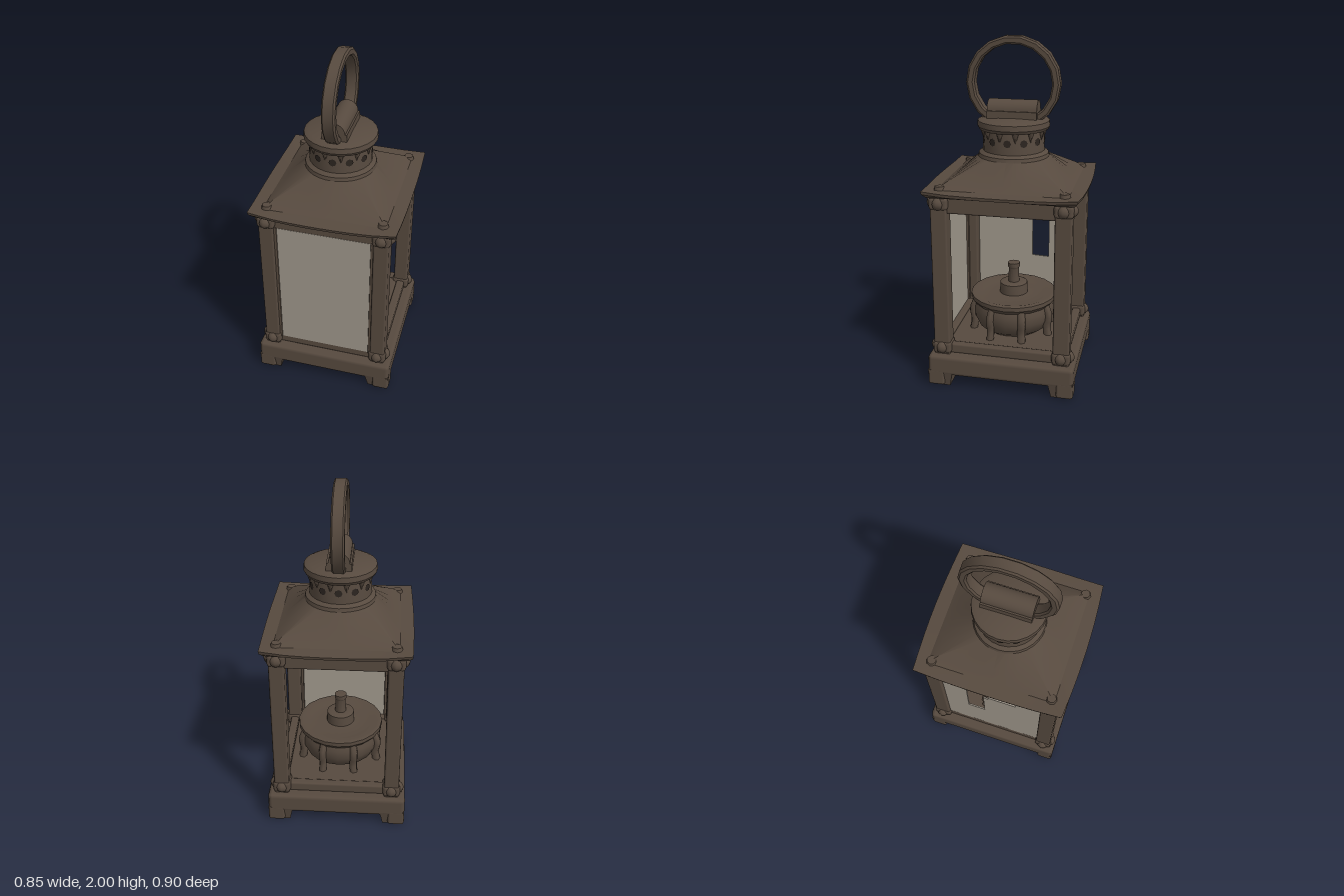
import * as THREE from 'three';
import { toCreasedNormals } from 'three/addons/utils/BufferGeometryUtils.js';
import { RoundedBoxGeometry } from 'three/addons/geometries/RoundedBoxGeometry.js';

const metal = new THREE.MeshStandardMaterial({ color: 0x574a3f });
metal.name = 'aged bronze';
const glass = new THREE.MeshStandardMaterial({ color: 0xa0988c });
glass.name = 'dusty glass';
const dark = new THREE.MeshStandardMaterial({ color: 0x2c2520 });
dark.name = 'vent shadow';

function add(parent, name, geometry, x = 0, y = 0, z = 0, material = metal) {
  const mesh = new THREE.Mesh(geometry, material);
  mesh.name = name;
  mesh.position.set(x, y, z);
  parent.add(mesh);
  return mesh;
}

const box = (w, h, d, r = 0.012) => new RoundedBoxGeometry(w, h, d, 1, r);

function lathe(points, segments = 24) {
  const profile = points.map(([r, y]) => new THREE.Vector2(r, y));
  return toCreasedNormals(new THREE.LatheGeometry(profile, segments), 0.6);
}

// Skin over rings, each a function from angle to [x, y, z], listed bottom to top
function loft(rings, n = 32) {
  const pos = [], index = [];
  rings.forEach((ring, j) => {
    for (let i = 0; i < n; i++) {
      pos.push(...ring((i / n) * Math.PI * 2));
      if (j === 0) continue;
      const k = (i + 1) % n, a = (j - 1) * n, b = j * n;
      index.push(a + i, b + i, a + k, a + k, b + i, b + k);
    }
  });
  const g = new THREE.BufferGeometry();
  g.setAttribute('position', new THREE.Float32BufferAttribute(pos, 3));
  g.setIndex(index);
  return toCreasedNormals(g, 0.5);
}

// Rectangular ring with slightly bowed sides and lifted corners
const rectRing = (hx, hz, y, bow = 0, lift = 0) => (t) => {
  const c = Math.cos(t), s = Math.sin(t), m = Math.max(Math.abs(c), Math.abs(s));
  const u = c / m, v = s / m;
  return [u * (hx + bow * 0.5 * (1 - v * v)), y + lift * (u * v) ** 4, v * (hz + bow * (1 - u * u))];
};
const roundRing = (r, y) => (t) => [Math.cos(t) * r, y, Math.sin(t) * r];

function buildBase(g) {
  add(g, 'baseSlab', box(0.82, 0.125, 0.86, 0.025), 0, 0.133, 0);
  add(g, 'floor', box(0.6, 0.06, 0.66), 0, 0.215, 0);
  for (const sx of [-1, 1]) for (const sz of [-1, 1]) {
    // Foot flaring up into the slab
    const foot = new THREE.CylinderGeometry(0.095, 0.07, 0.1, 4, 1).rotateY(Math.PI / 4);
    foot.scale(1.1, 1, 1.1);
    add(g, 'foot', toCreasedNormals(foot, 0.3), sx * 0.335, 0.05, sz * 0.355);
    add(g, 'footPad', box(0.1, 0.1, 0.1, 0.015), sx * 0.36, 0.055, sz * 0.38);
  }
}

function buildFrame(g) {
  const knob = new THREE.SphereGeometry(0.036, 8, 6);
  for (const sx of [-1, 1]) for (const sz of [-1, 1]) {
    const x = sx * 0.327, z = sz * 0.35;
    add(g, 'cornerPost', box(0.088, 1.0, 0.096), x, 0.68, z);
    for (const y of [0.235, 1.115]) {
      add(g, 'postCollar', box(0.105, 0.075, 0.11, 0.02), x, y, z);
      add(g, 'sideKnob', knob, x + sx * 0.038, y, z);
      add(g, 'faceKnob', knob, x, y, z + sz * 0.04);
    }
    add(g, 'roofPeg', new THREE.CylinderGeometry(0.026, 0.038, 0.045, 8), x, 1.185, z);
  }
  // Rails between the posts
  for (const s of [-1, 1]) {
    for (const [y, h] of [[0.225, 0.06], [1.11, 0.11]]) {
      add(g, 'crossRail', box(0.6, h, 0.05), 0, y, s * 0.352);
      add(g, 'sideRail', box(0.05, h, 0.64), s * 0.328, y, 0);
    }
  }
}

function buildPanes(g) {
  add(g, 'frontPane', new THREE.BoxGeometry(0.56, 0.83, 0.009), 0, 0.66, 0.374);
  g.children.at(-1).material = glass;
  for (const s of [-1, 1]) add(g, 'paneStile', box(0.022, 0.84, 0.03, 0.005), s * 0.279, 0.66, 0.37);

  // Side pane with a broken-out opening, drawn with z across and y up
  const shape = new THREE.Shape();
  shape.moveTo(-0.31, 0.24).lineTo(0.31, 0.24).lineTo(0.31, 1.07).lineTo(-0.31, 1.07);
  const hole = [[0.15, 0.92], [-0.14, 0.92], [-0.155, 0.905], [-0.155, 0.57], [-0.05, 0.575],
    [-0.05, 0.84], [-0.02, 0.84], [-0.02, 0.865], [0.15, 0.865]];
  shape.holes.push(new THREE.Path(hole.map(([z, y]) => new THREE.Vector2(-z, y))));
  const pane = new THREE.ExtrudeGeometry(shape, { depth: 0.009, bevelEnabled: false });
  add(g, 'brokenSidePane', pane.rotateY(Math.PI / 2), -0.35, 0, 0, glass);
}

function buildRoof(g) {
  add(g, 'roof', loft([
    roundRing(0.001, 1.155),
    rectRing(0.39, 0.41, 1.155),
    rectRing(0.41, 0.428, 1.165, 0.02, 0.012),
    rectRing(0.413, 0.432, 1.182, 0.02, 0.012),
    rectRing(0.345, 0.37, 1.187),
    rectRing(0.3, 0.32, 1.222),
    roundRing(0.205, 1.325),
    roundRing(0.2, 1.345),
    roundRing(0.17, 1.35),
  ]));

  // Vented chimney with a wide cap
  add(g, 'chimney', lathe([[0.2, 1.33], [0.2, 1.345], [0.178, 1.36], [0.172, 1.48],
    [0.198, 1.482], [0.208, 1.5], [0.205, 1.53], [0.18, 1.542], [0, 1.552]]));
  const vents = 12;
  for (let i = 0; i < vents; i++) {
    const a = (i / vents) * Math.PI * 2;
    const pivot = new THREE.Group();
    pivot.name = 'vent';
    pivot.rotation.y = a;
    g.add(pivot);
    add(pivot, 'ventHole', new THREE.CircleGeometry(0.022, 8), 0, 1.425, 0.1785, dark);
    const rib = add(pivot, 'ventRib', new THREE.ConeGeometry(0.024, 0.075, 6), 0, 1.455, 0.172);
    rib.rotation.x = Math.PI;
    rib.position.applyAxisAngle(new THREE.Vector3(0, 1, 0), Math.PI / vents);
  }
}

function buildHandle(g) {
  // Saddle with an arched top
  const arch = new THREE.Shape();
  arch.moveTo(-0.072, 1.53).lineTo(0.072, 1.53).lineTo(0.07, 1.585);
  arch.absarc(0, 1.585, 0.06, 0, Math.PI, false);
  arch.lineTo(-0.07, 1.585);
  const saddle = new THREE.ExtrudeGeometry(arch, { depth: 0.285, bevelEnabled: false, curveSegments: 8 });
  add(g, 'handleSaddle', toCreasedNormals(saddle, 0.5), 0, 0, -0.1425);

  // Flat-sided carrying ring
  const ring = lathe([[0.222, -0.028], [0.232, -0.037], [0.258, -0.037], [0.269, -0.028],
    [0.269, 0.028], [0.258, 0.037], [0.232, 0.037], [0.222, 0.028], [0.222, -0.028]], 18);
  ring.rotateZ(Math.PI / 2);
  ring.scale(1, 0.975, 1);
  add(g, 'carryingRing', ring, 0, 1.738, 0);
}

function buildBurner(g) {
  add(g, 'oilBowl', lathe([[0, 0.235], [0.16, 0.235], [0.215, 0.275], [0.245, 0.34], [0.246, 0.39],
    [0.238, 0.42], [0.258, 0.445], [0.258, 0.47], [0.235, 0.475], [0.19, 0.46], [0.085, 0.468],
    [0.082, 0.53], [0.07, 0.536], [0.034, 0.536], [0.03, 0.62], [0.036, 0.63], [0.036, 0.655], [0, 0.657]], 20));
  // Claw legs hugging the bowl
  const curve = new THREE.CatmullRomCurve3([[0.225, 0.43], [0.25, 0.37], [0.24, 0.3], [0.25, 0.235]]
    .map(([r, y]) => new THREE.Vector3(r, y, 0)));
  const claw = new THREE.TubeGeometry(curve, 8, 0.024, 6);
  for (let i = 0; i < 8; i++) {
    add(g, 'clawLeg', claw).rotation.y = ((i + 0.5) / 8) * Math.PI * 2;
  }
}

export function createModel() {
  const model = new THREE.Group();
  model.name = 'lantern';
  const parts = { base: buildBase, frame: buildFrame, panes: buildPanes, roof: buildRoof, handle: buildHandle, burner: buildBurner };
  for (const [name, build] of Object.entries(parts)) {
    const group = new THREE.Group();
    group.name = name;
    build(group);
    model.add(group);
  }
  return model;
}
